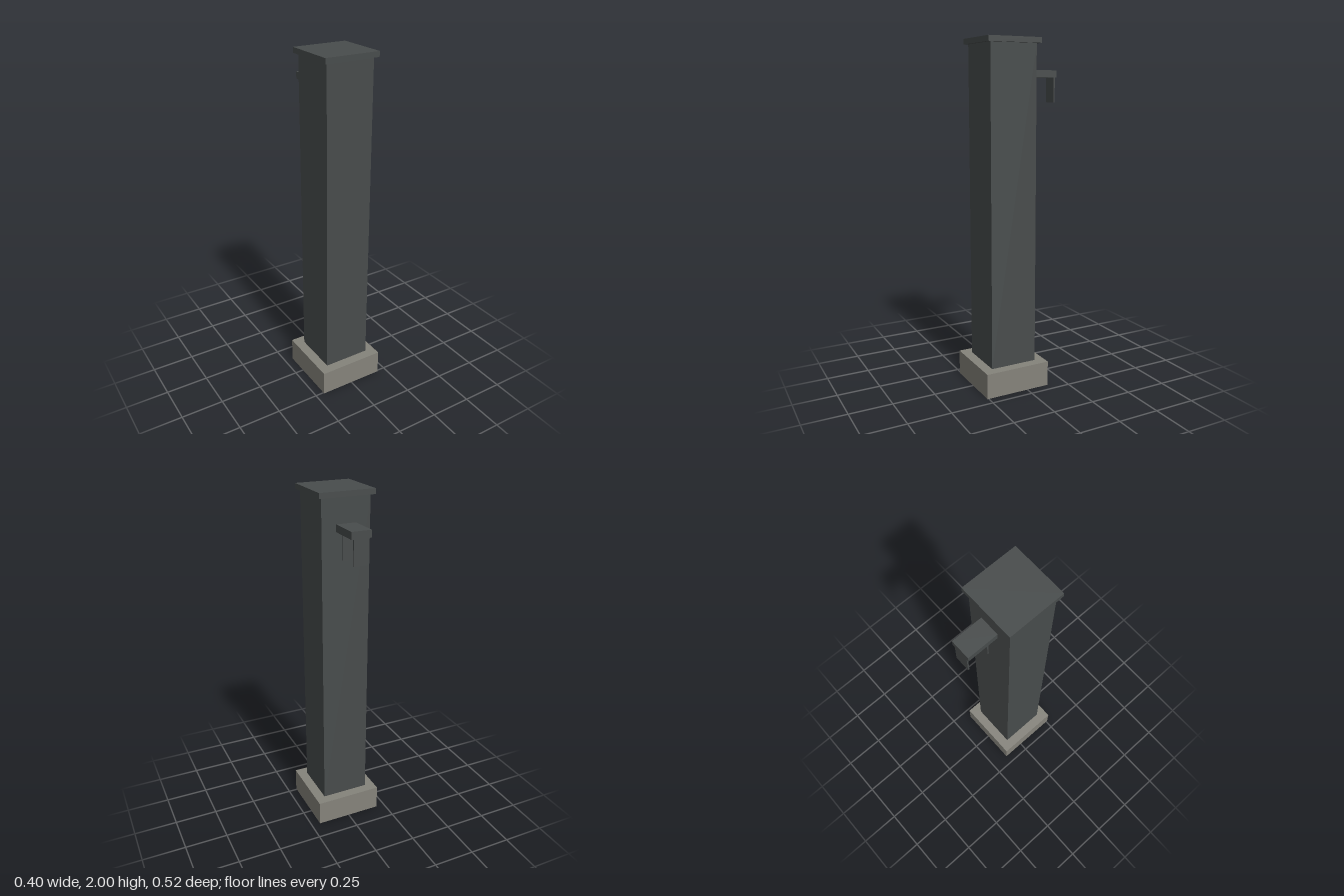
import * as THREE from 'three';

const charcoal = new THREE.MeshStandardMaterial({ color: 0x484c4c });
charcoal.name = 'charcoal metal';
const stone = new THREE.MeshStandardMaterial({ color: 0x85837b, side: THREE.DoubleSide });
stone.name = 'grey stone';

export function createModel() {
  const model = new THREE.Group();
  model.name = 'post';

  // Box given by its width and its y and z ranges, centred on x
  function block(name, width, [y0, y1], [z0, z1], material) {
    const geometry = new THREE.BoxGeometry(width, y1 - y0, z1 - z0);
    const mesh = new THREE.Mesh(geometry, material);
    mesh.position.set(0, (y0 + y1) / 2, (z0 + z1) / 2);
    mesh.name = name;
    model.add(mesh);
    return mesh;
  }

  // Hollow plinth: drop the bottom face (box side 3) so it is open below
  const plinth = block('plinth', 0.395, [0, 0.147], [-0.137, 0.258], stone);
  const index = Array.from(plinth.geometry.index.array);
  index.splice(18, 6);
  plinth.geometry.setIndex(index);
  plinth.geometry.clearGroups();

  // Square column and its overhanging cap
  block('column', 0.28, [0.147, 1.97], [-0.08, 0.2], charcoal);
  block('cap', 0.32, [1.97, 2], [-0.1, 0.22], charcoal);

  // Rear bracket with two thin hanging plates
  block('bracketArm', 0.114, [1.79, 1.83], [-0.258, -0.08], charcoal);
  for (const [name, z] of [['innerPlate', -0.13], ['outerPlate', -0.253]]) {
    block(name, 0.085, [1.65, 1.79], [z - 0.004, z + 0.004], charcoal);
  }

  return model;
}
